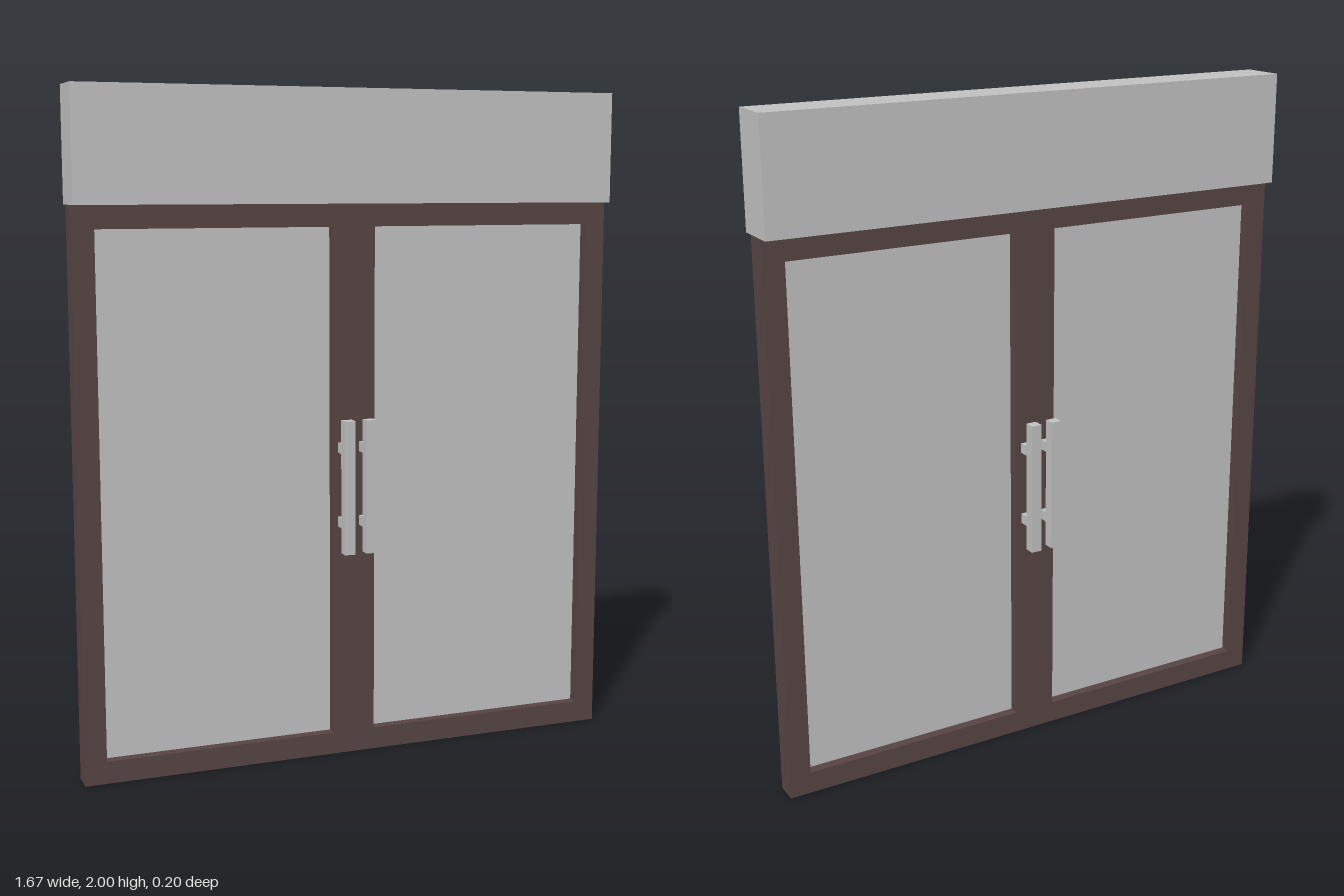
import * as THREE from 'three';

export function createModel() {
  const model = new THREE.Group();
  model.name = 'doubleDoor';

  const brown = new THREE.MeshStandardMaterial({ name: 'dark brown frame', color: 0x574444 });
  const grey = new THREE.MeshStandardMaterial({ name: 'light grey', color: 0xc0c0c0 });

  const HALF = 0.833, DOOR_TOP = 1.67, DEPTH = 0.068;
  const paneIn = 0.066, paneOut = 0.768, paneLow = 0.067, paneHigh = 1.603;

  function box(name, material, w, h, d, x, y, z, parent = model) {
    const mesh = new THREE.Mesh(new THREE.BoxGeometry(w, h, d), material);
    mesh.name = name;
    mesh.position.set(x, y, z);
    parent.add(mesh);
    return mesh;
  }

  // Door frame: one slab with two rectangular openings
  const rect = (Type, x0, y0, x1, y1) => new Type([
    new THREE.Vector2(x0, y0), new THREE.Vector2(x1, y0),
    new THREE.Vector2(x1, y1), new THREE.Vector2(x0, y1),
  ]);
  const outline = rect(THREE.Shape, -HALF, 0, HALF, DOOR_TOP);
  outline.holes.push(
    rect(THREE.Path, -paneOut, paneLow, -paneIn, paneHigh),
    rect(THREE.Path, paneIn, paneLow, paneOut, paneHigh),
  );
  const frameGeometry = new THREE.ExtrudeGeometry(outline, { depth: DEPTH, bevelEnabled: false });
  frameGeometry.translate(0, 0, -DEPTH / 2);
  const frame = new THREE.Mesh(frameGeometry, brown);
  frame.name = 'doorFrame';
  model.add(frame);

  // Header box above the doors
  box('header', grey, 2 * HALF, 2 - DOOR_TOP, 0.134, 0, (2 + DOOR_TOP) / 2, 0);

  // Panes, and a pull handle on both faces of each door
  for (const side of [-1, 1]) {
    const label = side > 0 ? 'left' : 'right';
    box(label + 'Pane', grey, paneOut - paneIn, paneHigh - paneLow, 0.008,
      side * (paneIn + paneOut) / 2, (paneLow + paneHigh) / 2, 0);

    const x = side > 0 ? 0.032 : -0.036;
    for (const face of [-1, 1]) {
      const handle = new THREE.Group();
      handle.name = label + (face > 0 ? 'FrontHandle' : 'BackHandle');
      model.add(handle);
      box('handleBar', grey, 0.033, 0.402, 0.033, x, 0.836, face * 0.083, handle);
      for (const y of [0.725, 0.95]) {
        box('handleBracket', grey, 0.03, 0.03, 0.034, x, y, face * 0.05, handle);
      }
    }
  }
  return model;
}
